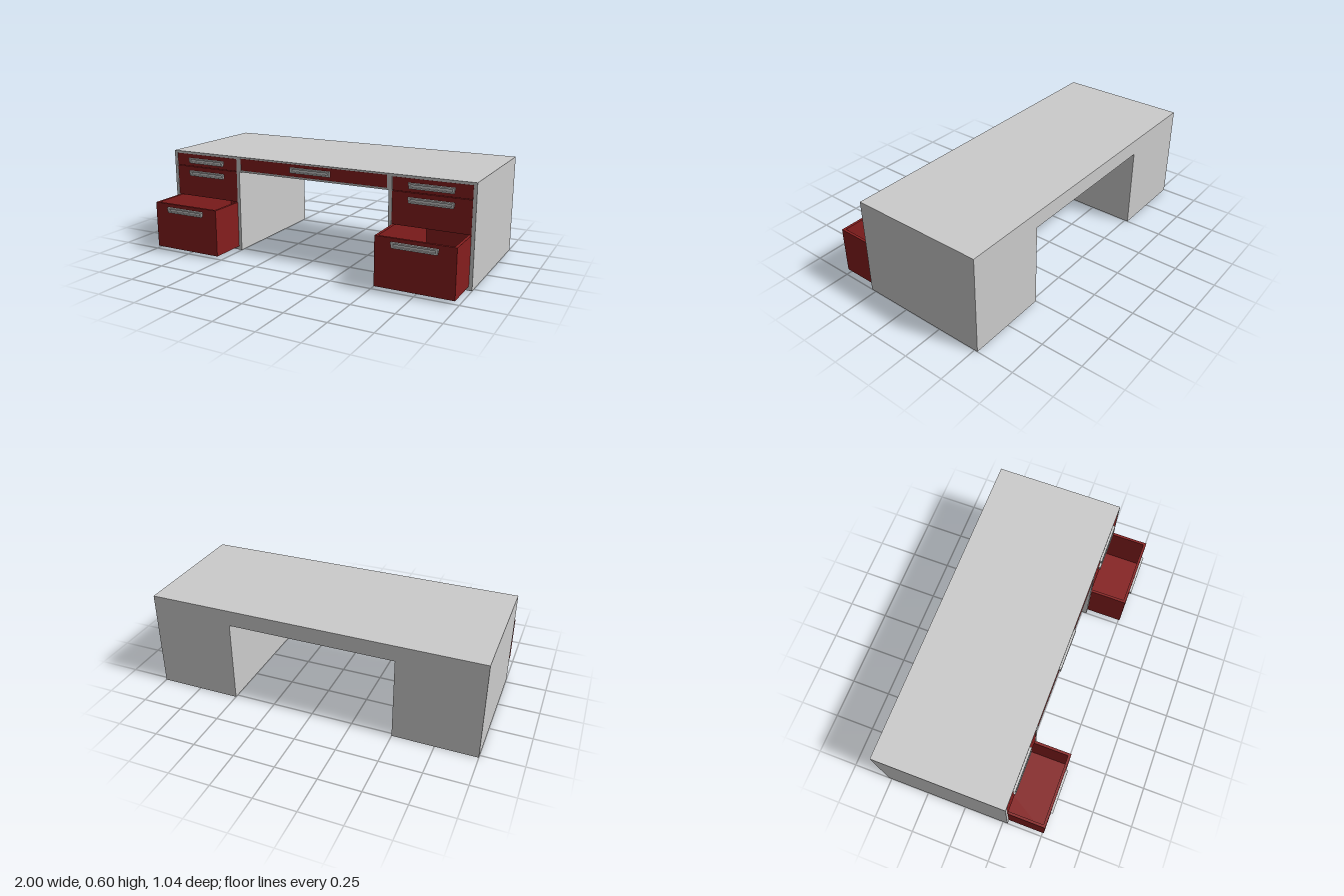
import * as THREE from 'three';

const grey = new THREE.MeshStandardMaterial({ color: 0xcccccc, flatShading: true });
const red = new THREE.MeshStandardMaterial({ color: 0x851e1e, flatShading: true });

const FRONT = 0.28, BACK = -0.52, WALL = 0.02;

function mesh(name, geometry, material) {
  const m = new THREE.Mesh(geometry, material);
  m.name = name;
  return m;
}

// Box given by its min and max corners
function box(name, material, [x0, y0, z0], [x1, y1, z1]) {
  const m = mesh(name, new THREE.BoxGeometry(x1 - x0, y1 - y0, z1 - z0), material);
  m.position.set((x0 + x1) / 2, (y0 + y1) / 2, (z0 + z1) / 2);
  return m;
}

function polygon(points, Type = THREE.Shape) {
  return new Type(points.map(([x, y]) => new THREE.Vector2(x, y)));
}

const rect = (x0, y0, x1, y1) => [[x0, y0], [x1, y0], [x1, y1], [x0, y1]];

// Inverted U outline of the desk, pushed back from z0 to z1
function deskSlab(name, z0, z1, openings) {
  const shape = polygon([[-1, 0], [-0.5, 0], [-0.5, 0.505], [0.5, 0.505],
    [0.5, 0], [1, 0], [1, 0.6], [-1, 0.6]]);
  shape.holes = openings.map((o) => polygon(o, THREE.Path));
  const geometry = new THREE.ExtrudeGeometry(shape, { depth: z1 - z0, bevelEnabled: false });
  geometry.translate(0, 0, z0);
  return mesh(name, geometry, grey);
}

// Slim pull: a frame with a slot, over a thin back plate
function handle(x, y, z, taper) {
  const group = new THREE.Group();
  group.name = 'handle';
  const w = 0.133, h = 0.016;
  const shape = polygon([[-w + taper, -h], [w - taper, -h], [w, h], [-w, h]]);
  shape.holes = [polygon(rect(-w + 0.014, -0.007, w - 0.014, 0.007), THREE.Path)];
  group.add(mesh('handleFrame', new THREE.ExtrudeGeometry(shape, { depth: 0.013, bevelEnabled: false }), grey));
  group.add(box('handlePlate', grey, [-w + 0.01, -0.01, 0], [w - 0.01, 0.01, 0.005]));
  group.position.set(x, y, z);
  return group;
}

function closedDrawer(name, x0, x1, y0, y1, handleY, taper) {
  const group = new THREE.Group();
  group.name = name;
  const z = FRONT - 0.002;
  group.add(box('drawerBody', red, [x0, y0, BACK + 0.04], [x1, y1, z]));
  group.add(handle((x0 + x1) / 2, handleY, z, taper));
  return group;
}

// Pulled-out drawer, open at the top
function openDrawer(name, x0, x1, y0, y1, handleY) {
  const group = new THREE.Group();
  group.name = name;
  const z0 = -0.27, z1 = 0.508, t = 0.016;
  group.add(
    box('drawerFloor', red, [x0, y0, z0], [x1, y0 + t, z1]),
    box('drawerFront', red, [x0, y0 + t, z1 - t], [x1, y1, z1]),
    box('drawerBack', red, [x0, y0 + t, z0], [x1, y1, z0 + t]),
    box('drawerSideRight', red, [x0, y0 + t, z0 + t], [x0 + t, y1, z1 - t]),
    box('drawerSideLeft', red, [x1 - t, y0 + t, z0 + t], [x1, y1, z1 - t]),
    handle((x0 + x1) / 2, handleY, z1, 0.006),
  );
  return group;
}

export function createModel() {
  const desk = new THREE.Group();
  desk.name = 'desk';

  // Carcass with three drawer openings and a closed back
  const openings = [
    rect(-0.98, 0.02, -0.52, 0.585),
    rect(0.52, 0.02, 0.98, 0.585),
    rect(-0.49, 0.515, 0.49, 0.59),
  ];
  desk.add(deskSlab('carcass', BACK + WALL, FRONT, openings));
  desk.add(deskSlab('backPanel', BACK, BACK + WALL, []));

  // Pedestal drawers on both sides
  for (const side of [-1, 1]) {
    const pedestal = new THREE.Group();
    pedestal.name = side < 0 ? 'rightPedestalDrawers' : 'leftPedestalDrawers';
    const x0 = side * 0.75 - 0.229, x1 = side * 0.75 + 0.229;
    pedestal.add(
      closedDrawer('topDrawer', x0, x1, 0.507, 0.584, 0.544, 0.006),
      closedDrawer('middleDrawer', x0, x1, 0.312, 0.504, 0.462, 0.006),
      openDrawer('bottomDrawer', x0, x1, 0.022, 0.309, 0.272),
    );
    desk.add(pedestal);
  }

  // Shallow drawer over the kneehole
  desk.add(closedDrawer('centreDrawer', -0.489, 0.489, 0.516, 0.589, 0.555, 0));
  return desk;
}
